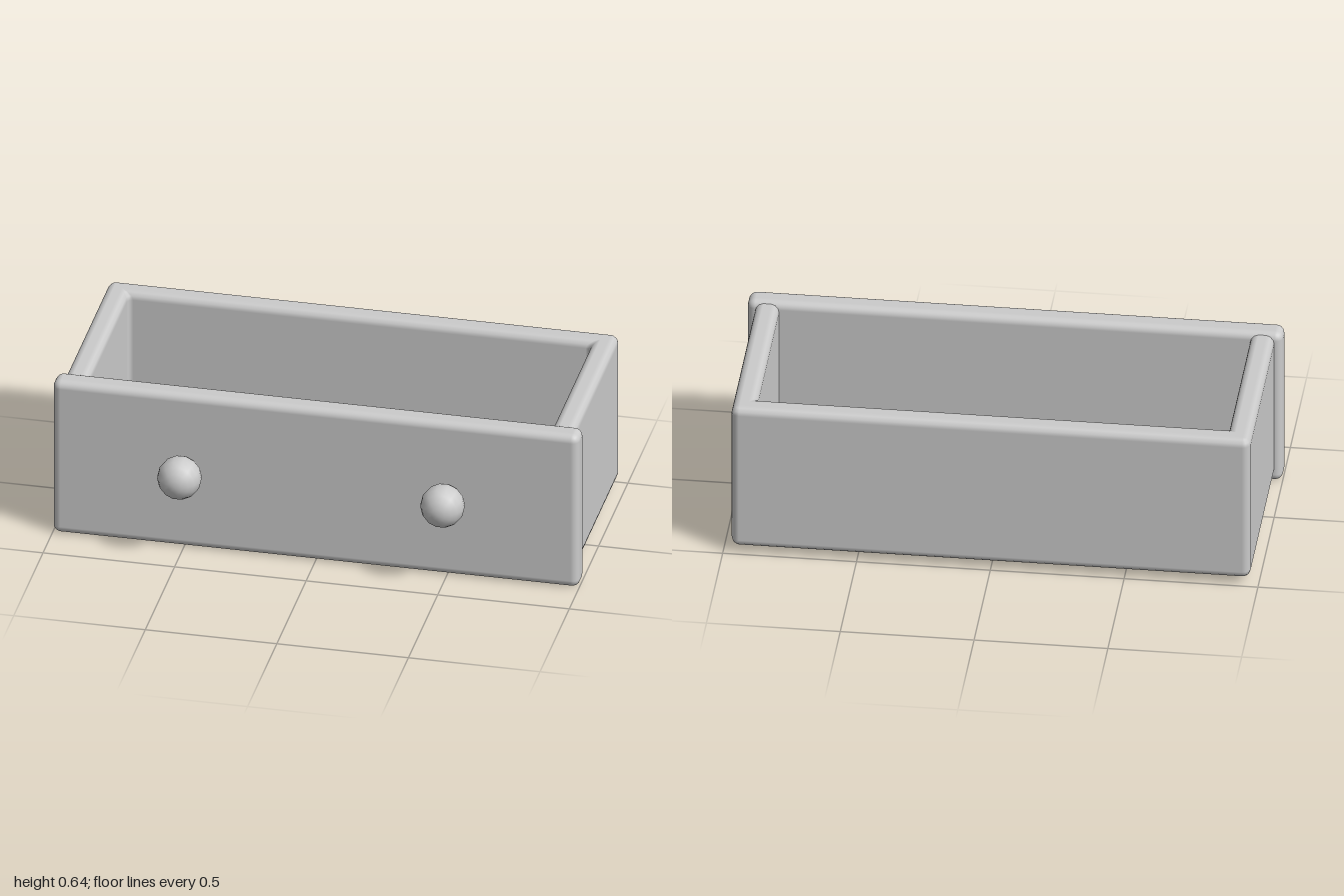
import * as THREE from 'three';
import { RoundedBoxGeometry } from 'three/addons/geometries/RoundedBoxGeometry.js';

const BEVEL = 0.03, WALL = 0.09, STEPS = 3;

// Hollow rounded tray: rounded-rectangle loops follow a profile up the outside, over the rim and down to the floor
function trayGeometry(halfX, back, front, bottom, top, floorY) {
  // profile entries: inset, height, corner radius, outward and upward parts of the normal
  const profile = [];
  const arc = (inset, y, from, to, cornerRadius) => {
    for (let i = 0; i <= STEPS; i++) {
      const t = THREE.MathUtils.lerp(from, to, i / STEPS);
      const c = Math.cos(t), s = Math.sin(t);
      profile.push([inset - BEVEL * c, y + BEVEL * s, cornerRadius(c), c, s]);
    }
  };
  const q = Math.PI / 2;
  arc(BEVEL, bottom + BEVEL, -q, 0, c => BEVEL * c);
  arc(BEVEL, top - BEVEL, 0, q, c => BEVEL * c);
  arc(WALL - BEVEL, top - BEVEL, q, 2 * q, c => -0.02 * c);
  profile.push([WALL, floorY, 0.02, -1, 0], [WALL, floorY, 0.02, 0, 1]);

  const position = [], normal = [], index = [];
  const corners = [[1, 1], [-1, 1], [-1, -1], [1, -1]];
  const n = 4 * (STEPS + 1);
  for (const [inset, y, r, out, up] of profile) {
    corners.forEach(([sx, sz], k) => {
      // the front edge is thin because the front panel encloses it
      const cx = sx * (halfX - inset - r);
      const cz = sz > 0 ? front - inset / 3 - r : back + inset + r;
      for (let i = 0; i <= STEPS; i++) {
        const a = (k + i / STEPS) * q, c = Math.cos(a), s = Math.sin(a);
        position.push(cx + r * c, y, cz + r * s);
        normal.push(out * c, up, out * s);
      }
    });
  }
  const last = (profile.length - 1) * n;
  for (let k = 0; k < profile.length - 1; k++) {
    for (let j = 0; j < n; j++) {
      const a = k * n + j, b = k * n + (j + 1) % n;
      index.push(a, a + n, b, b, a + n, b + n);
    }
  }
  // underside and inner floor
  for (let j = 1; j < n - 1; j++) {
    index.push(0, j, j + 1, last, last + j + 1, last + j);
  }
  const geometry = new THREE.BufferGeometry();
  geometry.setAttribute('position', new THREE.Float32BufferAttribute(position, 3));
  geometry.setAttribute('normal', new THREE.Float32BufferAttribute(normal, 3));
  geometry.setIndex(index);
  return geometry;
}

export function createModel() {
  const group = new THREE.Group();
  group.name = 'drawer';
  const material = new THREE.MeshStandardMaterial({ color: 0xcccccc });
  const add = (name, geometry, x = 0, y = 0, z = 0) => {
    const mesh = new THREE.Mesh(geometry, material);
    mesh.name = name;
    mesh.position.set(x, y, z);
    group.add(mesh);
  };

  // Open box
  add('drawerBox', trayGeometry(0.97, -0.5, 0.31, 0.03, 0.63, 0.12));

  // Overhanging front panel
  add('frontPanel', new RoundedBoxGeometry(2, 0.64, 0.094, 3, BEVEL), 0, 0.32, 0.297);

  // Round knobs
  const knob = new THREE.SphereGeometry(0.083, 14, 10).rotateX(Math.PI / 2);
  add('leftKnob', knob, 0.5, 0.333, 0.417);
  add('rightKnob', knob, -0.5, 0.333, 0.417);

  return group;
}
